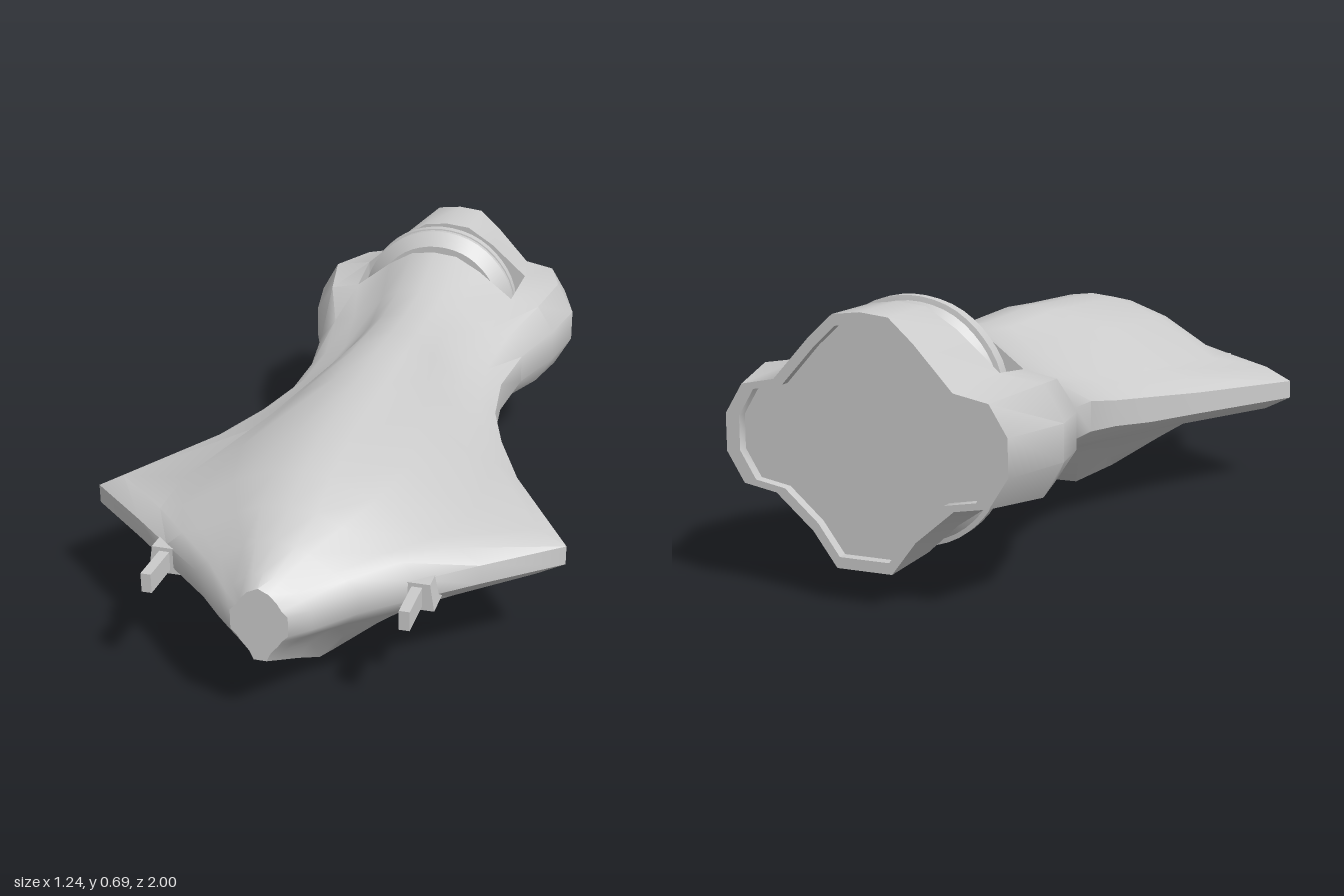
import * as THREE from 'three';
import { toCreasedNormals } from 'three/addons/utils/BufferGeometryUtils.js';

const mat = new THREE.MeshStandardMaterial({ color: 0xcccccc });
const AXIS = 0.385; // height of the tail axis

// Hull stations, nose to tail:
// z, top, bottom, half width, edge top, edge bottom, tip half height, root x, edge chamfer
const STATIONS = [
  [1.0, 0.37, 0.18, 0.07, 0.32, 0.24, 0.025, 0.045, 0.015],
  [0.96, 0.39, 0.16, 0.115, 0.33, 0.235, 0.025, 0.075, 0.02],
  [0.87, 0.425, 0.115, 0.2, 0.345, 0.23, 0.025, 0.14, 0.03],
  [0.77, 0.465, 0.06, 0.32, 0.355, 0.225, 0.025, 0.23, 0.045],
  [0.66, 0.505, 0.015, 0.44, 0.352, 0.222, 0.025, 0.32, 0.06],
  [0.5, 0.537, 0.003, 0.622, 0.345, 0.22, 0.025, 0.38, 0.072],
  [0.18, 0.553, 0.025, 0.435, 0.355, 0.22, 0.03, 0.3, 0.06],
  [0.0, 0.565, 0.09, 0.355, 0.37, 0.225, 0.035, 0.25, 0.05],
  [-0.15, 0.562, 0.145, 0.305, 0.39, 0.235, 0.035, 0.21, 0.045],
  [-0.3, 0.56, 0.185, 0.29, 0.415, 0.25, 0.04, 0.19, 0.045],
  [-0.48, 0.575, 0.19, 0.315, 0.45, 0.255, 0.04, 0.21, 0.045],
  [-0.645, 0.64, 0.125, 0.38, 0.495, 0.25, 0.045, 0.245, 0.05],
  [-0.81, 0.683, 0.087, 0.412, 0.515, 0.25, 0.045, 0.255, 0.05],
  [-1.0, 0.683, 0.087, 0.355, 0.5, 0.265, 0.045, 0.225, 0.045],
];
const SLOT = 11; // the band after this station is cut open for the drive disc

// Closed cross-section, clockwise from the top as seen from the front
function section([z, top, bottom, w, up, low, tip, root, chamfer]) {
  const mid = (up + low) / 2, flat = Math.min(0.07, root * 0.35);
  const ru = up + 0.017, rl = low - 0.015, m = THREE.MathUtils.lerp;
  const half = [
    [flat, top - 0.008], [root * 0.58, m(ru, top, 0.62)], [root, ru], [w - chamfer, up],
    [w, mid + tip], [w, mid - tip],
    [w - chamfer, low], [root, rl], [root * 0.58, m(rl, bottom, 0.5)], [flat, bottom],
  ];
  const left = half.slice().reverse().map(([x, y]) => [-x, y]);
  return [[0, top], ...half, [0, bottom], ...left].map(([x, y]) => new THREE.Vector3(x, y, z));
}

function hullGeometry() {
  const rings = STATIONS.map(section);
  const rear = rings[rings.length - 1];
  // Rim and recessed panel at the tail
  for (const z of [-1, -0.975]) {
    rings.push(rear.map((p) => new THREE.Vector3(p.x * 0.9, AXIS + (p.y - AXIS) * 0.91, z)));
  }
  const n = rear.length, verts = [];
  const tri = (...pts) => pts.forEach((p) => verts.push(p.x, p.y, p.z));
  const quad = (a, b, c, d) => { tri(a, b, c); tri(a, c, d); };
  const cap = (ring, front) => {
    const c = new THREE.Vector3(0, (ring[0].y + ring[Math.floor(ring.length / 2)].y) / 2, ring[0].z);
    ring.forEach((p, j) => {
      const q = ring[(j + 1) % ring.length];
      front ? tri(c, q, p) : tri(c, p, q);
    });
  };
  const isSide = (j) => (j >= 3 && j < 8) || (j >= 14 && j < 19);
  for (let i = 0; i < rings.length - 1; i++) {
    const A = rings[i], B = rings[i + 1];
    for (let j = 0; j < n; j++) {
      if (i === SLOT && !isSide(j)) continue;
      const k = (j + 1) % n;
      quad(A[j], A[k], B[k], B[j]);
    }
  }
  // Slot: inner walls of the side arms and the two facing bulkheads
  const F = rings[SLOT], R = rings[SLOT + 1];
  quad(F[8], F[3], R[3], R[8]);
  quad(F[19], F[14], R[14], R[19]);
  const core = (ring) => ring.filter((p, j) => !((j > 3 && j < 8) || (j > 14 && j < 19)));
  cap(core(F), false);
  cap(core(R), true);
  cap(rings[0], true);
  cap(rings[rings.length - 1], false);
  const g = new THREE.BufferGeometry();
  g.setAttribute('position', new THREE.Float32BufferAttribute(verts, 3));
  return toCreasedNormals(g, 0.7);
}

function add(parent, name, geometry, x, y, z) {
  const mesh = new THREE.Mesh(geometry, mat);
  mesh.name = name;
  mesh.position.set(x, y, z);
  parent.add(mesh);
  return mesh;
}

// Upright rounded plate with bevelled rims, centred on its own z
function discGeometry(scale, depth, bevel) {
  const quarter = [[0, 0.267], [0.09, 0.247], [0.16, 0.19], [0.2, 0.11]];
  const right = [...quarter, ...quarter.slice().reverse().map(([x, y]) => [x, -y])];
  const left = right.slice(1, -1).reverse().map(([x, y]) => [-x, y]);
  const pts = [...right, ...left].map(([x, y]) => new THREE.Vector3(x * scale, y * scale, 0));
  const curve = new THREE.CatmullRomCurve3(pts, true);
  const shape = new THREE.Shape(curve.getPoints(48).slice(0, -1).map((p) => new THREE.Vector2(p.x, p.y)));
  const g = new THREE.ExtrudeGeometry(shape, {
    depth, bevelEnabled: true, bevelThickness: bevel, bevelSize: 0.038, bevelSegments: 1,
  });
  g.translate(0, 0, -depth / 2);
  return toCreasedNormals(g, 0.5);
}

// Gun: tapered block with a slim barrel
function gun(side) {
  const g = new THREE.Group();
  g.name = side > 0 ? 'leftGun' : 'rightGun';
  const block = new THREE.BoxGeometry(0.085, 0.07, 0.1);
  const p = block.attributes.position;
  for (let i = 0; i < p.count; i++) {
    if (p.getY(i) > 0) p.setX(i, p.getX(i) * 0.75);
  }
  block.computeVertexNormals();
  add(g, 'gunMount', block, 0, 0, -0.06);
  add(g, 'gunBarrel', new THREE.BoxGeometry(0.026, 0.05, 0.16), 0, 0, 0.025);
  g.position.set(side * 0.318, 0.282, 0.8);
  return g;
}

export function createModel() {
  const model = new THREE.Group();
  model.name = 'spacecraft';
  add(model, 'hull', hullGeometry(), 0, 0, 0);

  // Drive disc in the tail slot, with a slim ridge
  const drive = new THREE.Group();
  drive.name = 'drive';
  drive.position.set(0, AXIS, -0.73);
  add(drive, 'driveDisc', discGeometry(0.985, 0.035, 0.035), 0, 0, 0);
  add(drive, 'driveRidge', discGeometry(1, 0.025, 0.008), 0, 0, -0.01);

  // Hub cones joining the disc to both bulkheads
  for (const s of [1, -1]) {
    const cone = new THREE.CylinderGeometry(0.17, 0.1, 0.06, 24);
    cone.rotateX(s * Math.PI / 2);
    add(drive, s > 0 ? 'frontHub' : 'rearHub', cone, 0, 0, s * 0.06);
  }
  model.add(drive);

  for (const side of [1, -1]) model.add(gun(side));
  return model;
}
